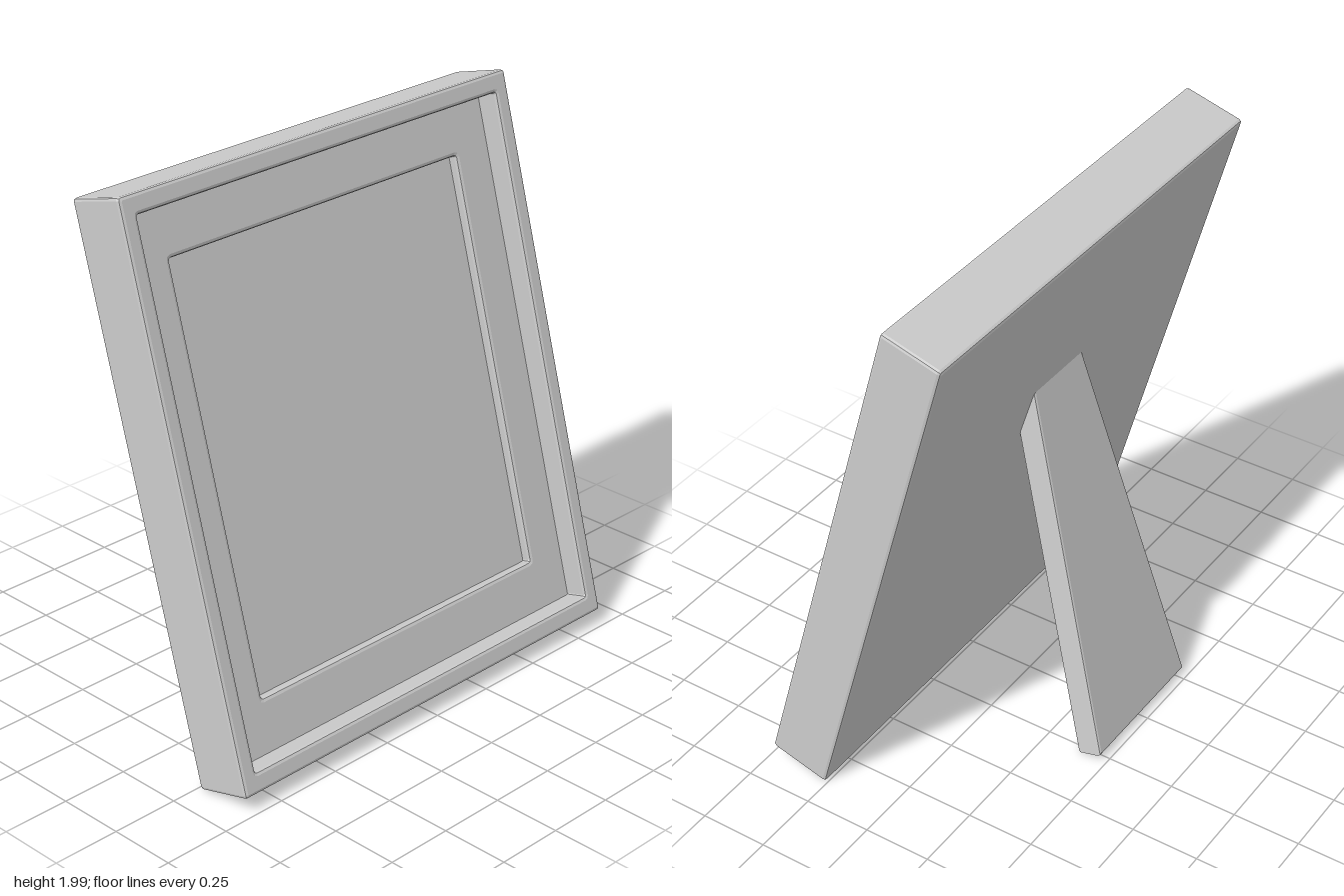
import * as THREE from 'three';

const HALF_W = 0.89, HALF_H = 1.005, TILT = THREE.MathUtils.degToRad(15.4);
const CORNER_STEPS = 2;

// Rounded rectangle outline, counter-clockwise seen from the front
function ring(hw, hh, z, r) {
  const pts = [];
  [[1, 1], [-1, 1], [-1, -1], [1, -1]].forEach(([sx, sy], c) => {
    for (let s = 0; s <= CORNER_STEPS; s++) {
      const a = (c + s / CORNER_STEPS) * Math.PI / 2;
      pts.push([sx * (hw - r) + r * Math.cos(a), sy * (hh - r) + r * Math.sin(a), z]);
    }
  });
  return pts;
}

// Joins rings in order and closes both ends
function loft(rings) {
  const n = rings[0].length, last = (rings.length - 1) * n, index = [];
  for (let i = 0; i < rings.length - 1; i++) {
    for (let k = 0; k < n; k++) {
      const a = i * n + k, b = i * n + (k + 1) % n;
      index.push(a, b, b + n, a, b + n, a + n);
    }
  }
  for (let k = 1; k < n - 1; k++) {
    index.push(0, k + 1, k, last, last + k, last + k + 1);
  }
  const geo = new THREE.BufferGeometry();
  geo.setAttribute('position', new THREE.Float32BufferAttribute(rings.flat(2), 3));
  geo.setIndex(index);
  const flat = geo.toNonIndexed();
  flat.computeVertexNormals();
  return flat;
}

export function createModel() {
  const model = new THREE.Group();
  model.name = 'pictureFrame';
  const material = new THREE.MeshStandardMaterial({ color: 0xcccccc, flatShading: true });

  // Frame section from the back edge, round the rim and down to the picture:
  // [side inset, top and bottom inset, depth, corner radius]
  const section = [
    [0.012, 0.012, 0, 0.004], [0.0035, 0.0035, 0.0035, 0.008], [0, 0, 0.012, 0.011],
    [0, 0, 0.218, 0.011], [0.0035, 0.0035, 0.2265, 0.008], [0.012, 0.012, 0.23, 0.004],
    // inner edge of the rim and its wall
    [0.049, 0.058, 0.23, 0.016], [0.058, 0.067, 0.2265, 0.01], [0.062, 0.071, 0.218, 0.006],
    [0.062, 0.071, 0.142, 0.006],
    // mat opening and sunken picture
    [0.207, 0.241, 0.142, 0.018], [0.217, 0.251, 0.1385, 0.011], [0.221, 0.255, 0.13, 0.006],
    [0.221, 0.255, 0.106, 0.006],
  ];
  const frame = new THREE.Mesh(
    loft(section.map(([dx, dy, z, r]) => ring(HALF_W - dx, HALF_H - dy, z, r))), material);
  frame.name = 'frame';
  frame.geometry.translate(0, HALF_H, 0);
  frame.rotation.x = -TILT;
  frame.position.set(0, 0, 0.26);
  model.add(frame);

  // Tapered easel leg leaning forward into the back of the frame
  const length = 1.395, thickness = 0.095, bevel = 0.01, foot = 0.28, head = 0.145;
  const outline = new THREE.Shape([
    new THREE.Vector2(-foot, 0), new THREE.Vector2(foot, 0),
    new THREE.Vector2(head, length), new THREE.Vector2(-head, length),
  ]);
  const legGeometry = new THREE.ExtrudeGeometry(outline, {
    depth: thickness - 2 * bevel, bevelThickness: bevel, bevelSize: bevel,
    bevelOffset: -bevel, bevelSegments: 2,
  });
  legGeometry.translate(0, 0, bevel - thickness);
  const leg = new THREE.Mesh(legGeometry, material);
  leg.name = 'easelLeg';
  leg.rotation.x = TILT;
  leg.position.set(0, 0.002, -0.388);
  model.add(leg);

  return model;
}
